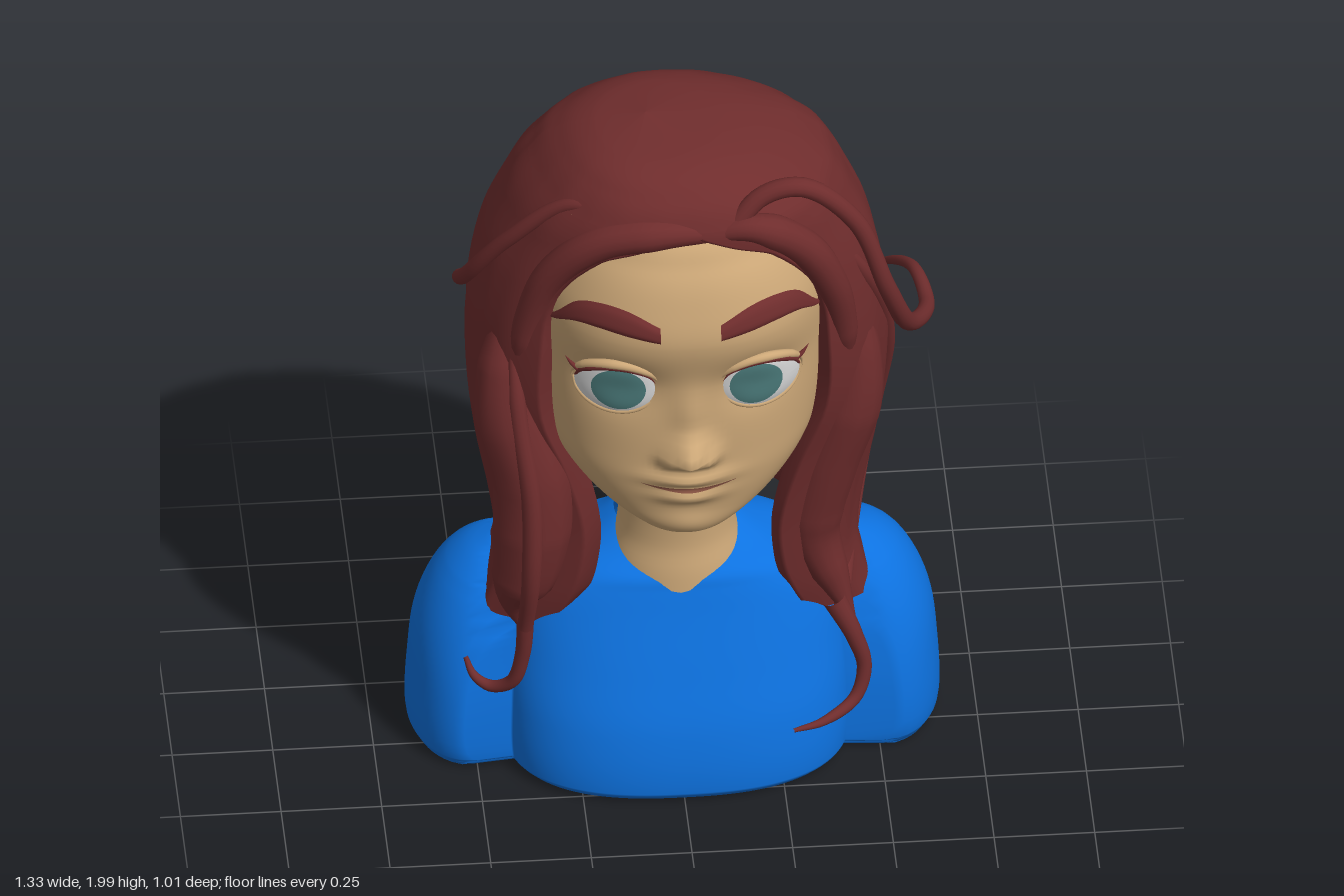
import * as THREE from 'three';

const mat = (name, color) => Object.assign(new THREE.MeshStandardMaterial({ color }), { name });
const M = {
  skin: mat('skin', 0xcda878), hair: mat('auburn hair', 0x6f2d2d), shirt: mat('blue shirt', 0x0d72e0),
  white: mat('eye white', 0xdcdcdc), iris: mat('teal iris', 0x4c7c7c), lip: mat('lip line', 0x8a5443),
};
M.shirt.side = THREE.DoubleSide;
const { lerp, clamp } = THREE.MathUtils;

// Smooth interpolation of key rows [y, a, b, ...] at height y
function at(keys, y) {
  let i = 0;
  while (i < keys.length - 2 && y > keys[i + 1][0]) i++;
  const p = keys[Math.max(0, i - 1)], a = keys[i], b = keys[i + 1], q = keys[Math.min(keys.length - 1, i + 2)];
  const h = b[0] - a[0], t = clamp((y - a[0]) / h, 0, 1);
  return a.map((v, k) => {
    if (k === 0) return y;
    const ma = (b[k] - p[k]) / (b[0] - p[0]) * h, mb = (q[k] - v) / (q[0] - a[0]) * h;
    const t2 = t * t, t3 = t2 * t;
    return (2 * t3 - 3 * t2 + 1) * v + (t3 - 2 * t2 + t) * ma + (3 * t2 - 2 * t3) * b[k] + (t3 - t2) * mb;
  });
}
// Heights with n steps between neighbouring keys
const levels = (keys, n) => keys.flatMap((k, i) => i === keys.length - 1 ? [k[0]]
  : Array.from({ length: n }, (_, s) => k[0] + (keys[i + 1][0] - k[0]) * s / n));
// Height of a rounded arch at x between -1 and 1
const arch = (x, p) => Math.max(0, 1 - Math.abs(x) ** p) ** (1 / p);

// Surface from fn(u, v, row); wrap joins the last column to the first
function grid(nu, nv, wrap, fn) {
  const cols = wrap ? nu : nu + 1, pos = [], idx = [];
  for (let j = 0; j <= nv; j++) for (let i = 0; i < cols; i++) pos.push(...fn(i / nu, j / nv, j));
  for (let j = 0; j < nv; j++) for (let i = 0; i < nu; i++) {
    const a = j * cols + i, b = j * cols + (i + 1) % cols;
    idx.push(a, b, b + cols, a, b + cols, a + cols);
  }
  const g = new THREE.BufferGeometry();
  g.setAttribute('position', new THREE.Float32BufferAttribute(pos, 3));
  g.setIndex(idx);
  g.computeVertexNormals();
  return g;
}

// Tapered lock of hair along points, with radii spread evenly
function lock(points, radii) {
  const curve = new THREE.CatmullRomCurve3(points.map(p => new THREE.Vector3(...p)));
  const n = points.length * 8, fr = curve.computeFrenetFrames(n, false);
  return grid(14, n, true, (u, v, j) => {
    const k = v * (radii.length - 1), i = Math.min(Math.floor(k), radii.length - 2);
    const r = lerp(radii[i], radii[i + 1], k - i), a = u * Math.PI * 2;
    return curve.getPointAt(v).addScaledVector(fr.normals[j], r * Math.cos(a))
      .addScaledVector(fr.binormals[j], r * Math.sin(a)).toArray();
  });
}

// Shirt keys: torso y, half width, front z, back z; arm y, centre x, half width, front z, back z
const TORSO = [[0.01, 0.41, 0.275, -0.3], [0.04, 0.43, 0.3, -0.325], [0.2, 0.435, 0.285, -0.32],
  [0.35, 0.43, 0.24, -0.3], [0.5, 0.41, 0.19, -0.26], [0.57, 0.36, 0.168, -0.22], [0.605, 0.3, 0.155, -0.2],
  [0.64, 0.22, 0.115, -0.17], [0.69, 0.15, 0.06, -0.13]];
const ARM = [[0.01, 0.51, 0.135, 0.1, -0.31], [0.05, 0.51, 0.152, 0.125, -0.335], [0.2, 0.505, 0.153, 0.125, -0.325],
  [0.35, 0.485, 0.155, 0.1, -0.305], [0.47, 0.455, 0.135, 0.06, -0.27], [0.54, 0.425, 0.1, 0.01, -0.21],
  [0.575, 0.4, 0.05, -0.04, -0.13], [0.585, 0.37, 0.005, -0.07, -0.09]];
// Outline of torso and arms merged, open at the hem
function shirtShell() {
  const ys = levels(TORSO, 7);
  return grid(220, ys.length - 1, true, (u, v, j) => {
    const y = ys[j], [, rx, zf, zb] = at(TORSO, y), zc = (zf + zb) / 2, a = u * Math.PI * 2;
    const dx = Math.sin(a), dz = Math.cos(a), p = 2.5;
    let r = ((Math.abs(dx) / rx) ** p + (Math.abs(dz) / (zf - zc)) ** p) ** (-1 / p);
    if (y < 0.585) {
      const [, cx, ax, af, ab] = at(ARM, y), az = (af - ab) / 2;
      const px = Math.abs(dx) / ax, pz = dz / az, qx = cx / ax, qz = ((af + ab) / 2 - zc) / az;
      const A = px * px + pz * pz, B = px * qx + pz * qz, D = B * B - A * (qx * qx + qz * qz - 1);
      if (D > 0) r = Math.max(r, (B + Math.sqrt(D)) / A);
    }
    return [dx * r, y, zc + dz * r];
  });
}

// Head keys: y, half width, front z, back z, centre z
const HEAD = [
  [0.897, 0.01, 0.3, 0.24, 0.27], [0.905, 0.075, 0.35, 0.16, 0.25], [0.93, 0.14, 0.385, 0.1, 0.22],
  [1.0, 0.24, 0.4, 0.03, 0.16], [1.1, 0.32, 0.415, -0.1, 0.1], [1.2, 0.355, 0.42, -0.2, 0.06],
  [1.4, 0.375, 0.43, -0.3, 0.05], [1.55, 0.375, 0.465, -0.3, 0.05], [1.65, 0.355, 0.45, -0.3, 0.05],
  [1.75, 0.3, 0.41, -0.25, 0.05], [1.85, 0.2, 0.32, -0.15, 0.05], [1.9, 0.01, 0.08, 0.02, 0.05],
];
// Face relief: x, y, spread x, spread y, height
const RELIEF = [
  [0, 1.205, 0.045, 0.042, 0.075], [0, 1.32, 0.04, 0.08, 0.016], [0.052, 1.185, 0.024, 0.026, 0.026],
  [-0.052, 1.185, 0.024, 0.026, 0.026], [0, 1.118, 0.09, 0.022, 0.03], [0, 1.06, 0.075, 0.024, 0.026],
  [0.17, 1.4, 0.09, 0.07, -0.03], [-0.17, 1.4, 0.09, 0.07, -0.03], [0, 0.96, 0.06, 0.04, 0.01],
];
const relief = (x, y) => RELIEF.reduce((s, [cx, cy, sx, sy, h]) =>
  s + h * Math.exp(-(((x - cx) / sx) ** 2) - ((y - cy) / sy) ** 2), 0);
function faceZ(x, y) {
  const [, rx, zf, , zc] = at(HEAD, y), c = arch(x / rx, 2.3);
  return zc + (zf - zc) * c + relief(x, y) * Math.min(1, c * 2);
}
const onFace = (x, y, off) => [x, y, faceZ(x, y) + off];

// Hair keys: y, centre x, half width, front z, back z, half width of the face opening
const HAIR = [
  [0.46, 0, 0.49, 0.15, -0.505, 0.32], [0.55, 0, 0.465, 0.18, -0.455, 0.28], [0.65, 0, 0.45, 0.2, -0.425, 0.25],
  [0.8, 0, 0.465, 0.22, -0.43, 0.24], [1.0, 0, 0.5, 0.26, -0.465, 0.285], [1.2, 0, 0.52, 0.32, -0.485, 0.35],
  [1.4, 0, 0.52, 0.35, -0.475, 0.355], [1.6, 0, 0.485, 0.365, -0.42, 0.325], [1.75, 0, 0.425, 0.38, -0.34, 0.21],
  [1.8, 0, 0.4, 0.385, -0.31, 0.1], [1.85, 0, 0.365, 0.38, -0.27, 0], [1.92, -0.02, 0.285, 0.34, -0.2, 0],
  [1.975, -0.05, 0.165, 0.25, -0.1, 0], [2.0, -0.08, 0, 0.07, 0.07, 0],
];
// Point at s from one edge of the face opening round the back to the other; k scales inwards
function hairPoint(y, s, inner) {
  const [, cx, rx, zf, zb, xo] = at(HAIR, y), low = y - 0.46;
  const open = xo > 0.002 ? Math.asin(clamp(xo / rx, 0, 0.95)) : 0;
  const a = open + (Math.PI * 2 - 2 * open) * s, zc = 0.07 * clamp((y - 1.9) * 10, 0, 1);
  const wave = (Math.sin(13 * a + y) + 0.6 * Math.sin(23 * a + 1 - y)) * Math.sin(Math.PI * s);
  const k = inner ? lerp(1, 0.83, Math.min(1, low * 8)) : 1 + 0.01 * Math.min(1, (2 - y) * 4) * wave;
  const c = Math.cos(a), depth = c > 0 ? (zf - zc) * arch(Math.sin(a), 2.4) : (zc - zb) * c;
  return [cx + k * rx * Math.sin(a), y + 0.006 * wave * Math.max(0, 1 - low * 6), zc + k * depth];
}
function hairShell() {
  const ys = levels(HAIR.slice(0, 11), 5);
  return grid(240, ys.length - 1, true, (u, v, j) =>
    u < 0.75 ? hairPoint(ys[j], u / 0.7459, false) : hairPoint(ys[j], (1 - u) / 0.25, true));
}
function hairCrown() {
  const ys = levels(HAIR.slice(10), 8);
  return grid(180, ys.length - 1, true, (u, v, j) => hairPoint(ys[j], u, false));
}

export function createModel() {
  const model = new THREE.Group();
  const add = (name, geo, m) => {
    const mesh = new THREE.Mesh(geo, m);
    mesh.name = name;
    model.add(mesh);
  };

  // Shirt, neck and head
  add('shirt', shirtShell(), M.shirt);
  const NECK = [[0.55, 0.175, 0.17, -0.13], [0.62, 0.165, 0.165, -0.12], [0.7, 0.147, 0.155, -0.11],
    [0.85, 0.14, 0.17, -0.1], [1.0, 0.15, 0.2, -0.1]];
  add('neck', grid(48, 24, true, (u, v) => {
    const [y, rx, zf, zb] = at(NECK, 0.55 + 0.45 * v), a = u * Math.PI * 2;
    return [rx * Math.sin(a), y, (zf + zb) / 2 + (zf - zb) / 2 * Math.cos(a)];
  }), M.skin);
  const hy = levels(HEAD, 9);
  add('head', grid(140, hy.length - 1, true, (u, v, j) => {
    const [y, rx, , zb, zc] = at(HEAD, hy[j]), a = u * Math.PI * 2, x = rx * Math.sin(a), c = Math.cos(a);
    return [x, y, c > 0 ? faceZ(x, y) : zc + (zc - zb) * c];
  }), M.skin);

  // Eyes, lids, lashes and brows
  const BROW = [[0.075, 1.596, 0.022], [0.15, 1.618, 0.033], [0.22, 1.622, 0.032], [0.28, 1.602, 0.024], [0.335, 1.54, 0.004]];
  for (const s of [-1, 1]) {
    const side = s > 0 ? 'left' : 'right', ex = s * 0.18, ey = 1.397;
    const bulge = (x, y) => 0.01 + 0.13 * (Math.abs(x) - 0.18)
      + 0.03 * Math.max(0, 1 - ((x - ex) / 0.1) ** 2 - ((y - ey) / 0.077) ** 2);
    const disc = (cx, cy, rx, ry, lift) => grid(12, 40, false, (u, v) => {
      const a = v * Math.PI * 2, x = cx + rx * u * Math.cos(a), y = cy + ry * u * Math.sin(a);
      return onFace(x, y, bulge(x, y) + lift);
    });
    add(side + 'Eye', disc(ex, ey, 0.1, 0.077, 0), M.white);
    add(side + 'Iris', disc(s > 0 ? 0.167 : -0.175, 1.4, 0.067, 0.066, 0.004), M.iris);
    const arc = (grow, lift, from, to) => Array.from({ length: 9 }, (_, i) => {
      const a = lerp(from, to, i / 8), x = ex + s * (0.1 + grow) * Math.cos(a);
      return onFace(x, ey + (0.077 + grow) * Math.sin(a), lift + 0.13 * (Math.abs(x) - 0.18));
    });
    add(side + 'UpperLid', lock(arc(0.008, 0.008, -0.1, 3.2), [0, 0.011, 0.013, 0.011, 0]), M.skin);
    add(side + 'LowerLid', lock(arc(0.003, 0.005, 3.1, 6.3), [0.003, 0.007, 0.007, 0.007, 0.003]), M.skin);
    add(side + 'Lashes', lock(arc(0, 0.016, 0.2, 2.9), [0.003, 0.009, 0.008, 0.006, 0]), M.hair);
    add(side + 'LashTip', lock([onFace(s * 0.268, 1.43, 0.022), onFace(s * 0.286, 1.445, 0.028),
      onFace(s * 0.303, 1.468, 0.035)], [0.008, 0.005, 0]), M.hair);
    add(side + 'Brow', grid(24, 8, false, (u, v) => {
      const x = lerp(0.075, 0.335, s > 0 ? u : 1 - u), [, yc, h] = at(BROW, x), w = v * 2 - 1;
      return onFace(s * x, yc + h * w, 0.002 + 0.01 * (1 - w ** 4));
    }), M.hair);
  }

  // Mouth line
  add('mouth', grid(30, 4, false, (u, v) => {
    const t = u * 2 - 1;
    return onFace(t * 0.122, 1.086 + 0.018 * t * t + (v - 0.5) * 0.013 * (1 - t * t), 0.004);
  }), M.lip);

  // Hair mass, rolled hairline and front locks
  add('hair', hairShell(), M.hair);
  add('hairCrown', hairCrown(), M.hair);
  const locks = {
    rightHairline: [[[0.09, 1.825, 0.35], [-0.06, 1.84, 0.36], [-0.21, 1.8, 0.33], [-0.33, 1.67, 0.28],
      [-0.385, 1.5, 0.24], [-0.41, 1.25, 0.2]], [0.02, 0.045, 0.045, 0.04, 0.035, 0]],
    leftHairline: [[[0.06, 1.825, 0.35], [0.17, 1.84, 0.355], [0.29, 1.75, 0.32], [0.365, 1.6, 0.28],
      [0.395, 1.45, 0.24], [0.41, 1.25, 0.2]], [0.02, 0.045, 0.045, 0.04, 0.035, 0]],
    rightFrontLock: [[[-0.43, 1.5, 0.15], [-0.43, 1.2, 0.18], [-0.37, 0.95, 0.18], [-0.38, 0.7, 0.17],
      [-0.41, 0.57, 0.15], [-0.4, 0.47, 0.15]], [0.02, 0.07, 0.09, 0.1, 0.1, 0.08, 0]],
    leftFrontLock: [[[0.43, 1.5, 0.15], [0.43, 1.2, 0.16], [0.36, 0.93, 0.13], [0.33, 0.72, 0.11],
      [0.39, 0.54, 0.13], [0.44, 0.42, 0.16]], [0.02, 0.06, 0.085, 0.085, 0.08, 0.05, 0]],
    // Loose strands
    leftLoop: [[[0.1, 1.82, 0.35], [0.19, 1.92, 0.33], [0.29, 1.94, 0.33], [0.42, 1.82, 0.32], [0.5, 1.6, 0.31],
      [0.56, 1.42, 0.22], [0.62, 1.34, 0.05], [0.6, 1.34, -0.1], [0.54, 1.25, -0.25], [0.48, 1.1, -0.37]],
      [0.025, 0.025, 0.022, 0.024, 0.02, 0.012, 0]],
    leftLongStrand: [[[0.24, 1.86, 0.24], [0.45, 1.55, 0.17], [0.52, 1.24, 0.02], [0.5, 0.97, -0.08],
      [0.47, 0.79, -0.1], [0.43, 0.63, 0.02], [0.4, 0.48, 0.15]], [0, 0.022, 0.024, 0.024, 0.02]],
    leftCurl: [[[0.38, 0.52, 0.16], [0.43, 0.41, 0.17], [0.455, 0.31, 0.17], [0.43, 0.23, 0.19], [0.35, 0.2, 0.24],
      [0.27, 0.205, 0.28]], [0.03, 0.022, 0.018, 0.014, 0.005]],
    rightLoop: [[[-0.12, 1.86, 0.34], [-0.28, 1.86, 0.25], [-0.43, 1.71, 0.18], [-0.525, 1.53, 0.08],
      [-0.53, 1.43, -0.04], [-0.455, 1.3, -0.21], [-0.33, 1.15, -0.36], [-0.14, 0.99, -0.505]],
      [0.015, 0.02, 0.02, 0.02, 0.016, 0]],
    rightLongStrand: [[[-0.43, 1.5, 0.2], [-0.41, 1.2, 0.25], [-0.38, 0.95, 0.27], [-0.38, 0.7, 0.26],
      [-0.39, 0.52, 0.21]], [0, 0.022, 0.025, 0.025, 0.02]],
    rightCurl: [[[-0.39, 0.54, 0.21], [-0.395, 0.42, 0.19], [-0.42, 0.32, 0.17], [-0.47, 0.285, 0.14],
      [-0.51, 0.305, 0.12], [-0.53, 0.35, 0.1]], [0.022, 0.02, 0.018, 0.015, 0.006]],
  };
  for (const [name, [points, radii]] of Object.entries(locks)) add(name, lock(points, radii), M.hair);
  return model;
}
